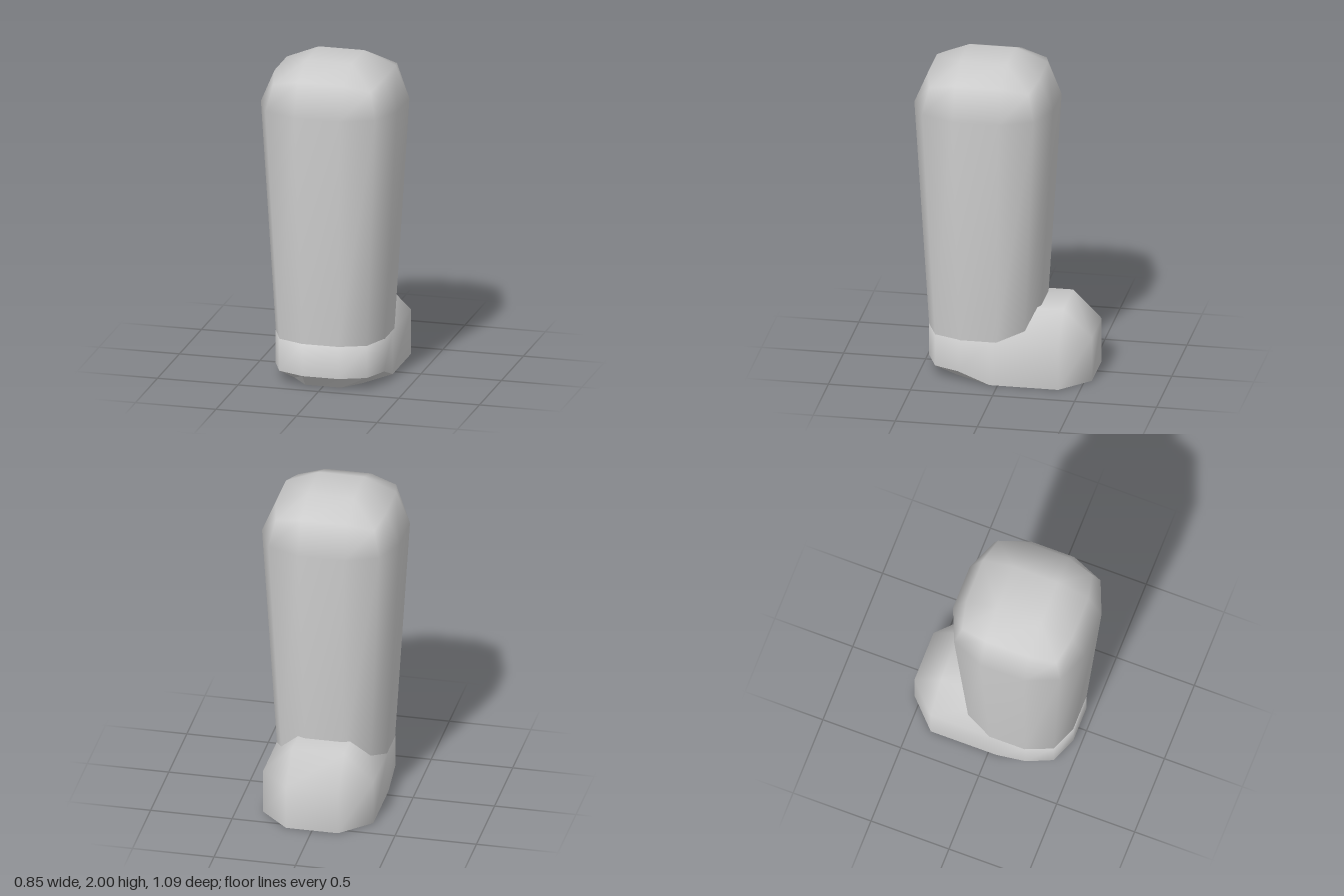
import * as THREE from 'three';
import { mergeVertices, toCreasedNormals } from 'three/addons/utils/BufferGeometryUtils.js';

// Skins half rings (listed front to back on +x, mirrored to -x) from bottom to top.
function loft(halfRings, { capTop = false, capBottom = false } = {}) {
  const rings = halfRings.map((half) => [
    ...half,
    ...half.slice().reverse().map(([x, y, z]) => [-x, y, z]),
  ]);
  const n = rings[0].length;
  const index = [];
  const same = (a, b) => a.every((v, k) => Math.abs(v - b[k]) < 1e-6);
  const flat = rings.flat();
  const tri = (a, b, c) => {
    if (same(flat[a], flat[b]) || same(flat[b], flat[c]) || same(flat[a], flat[c])) return;
    index.push(a, b, c);
  };
  for (let r = 0; r < rings.length - 1; r++) {
    for (let i = 0; i < n; i++) {
      const a = r * n + i, b = r * n + ((i + 1) % n);
      tri(a, b, b + n);
      tri(a, b + n, a + n);
    }
  }
  const top = (rings.length - 1) * n;
  for (let i = 1; i < n - 1; i++) {
    if (capTop) tri(top, top + i, top + i + 1);
    if (capBottom) tri(0, i + 1, i);
  }
  const geometry = new THREE.BufferGeometry();
  geometry.setAttribute('position', new THREE.Float32BufferAttribute(flat.flat(), 3));
  geometry.setIndex(index);
  const merged = mergeVertices(geometry, 1e-5);
  merged.computeVertexNormals();
  return merged;
}

// Half ring of a square with two-step rounded corners, around the leg's axis.
const LEG_Z = 0.12;
function legRing(side, corner, flat, y, cornerY = y) {
  const half = [[flat, y, side], [corner, cornerY, corner], [side, y, flat]];
  const back = half.slice().reverse().map(([x, h, z]) => [x, h, -z]);
  return [...half, ...back].map(([x, h, z]) => [x, h, z + LEG_Z]);
}

export function createModel() {
  const group = new THREE.Group();
  const grey = new THREE.MeshStandardMaterial({ color: 0xcccccc });
  grey.name = 'light grey';
  const add = (name, geometry) => {
    const mesh = new THREE.Mesh(geometry, grey);
    mesh.name = name;
    group.add(mesh);
  };

  // Leg: tapered column with a rounded top
  add('leg', loft([
    legRing(0.338, 0.272, 0.112, 0.277),
    legRing(0.423, 0.34, 0.14, 1.72),
    legRing(0.338, 0.302, 0.14, 1.92, 1.882),
    legRing(0.14, 0.14, 0.14, 2.0),
  ], { capTop: true }));

  // Foot: band around the leg's end, running back into a bevelled block
  const outline = [[0.112, 0.458], [0.272, 0.392], [0.338, 0.24], [0.338, 0.05], [0.338, -0.37], [0.16, -0.543]];
  const lower = outline.map(([x, z], i) => [x, i < 3 ? 0.075 : 0, z]);
  const shoulder = outline.map(([x, z]) => [x, 0.277, z]);
  const crown = [0.12, 0.12, 0.12, 0.05, -0.37, -0.37].map((z) => [0.16, 0.45, z]);
  add('foot', loft([lower, shoulder, crown], { capTop: true }));

  // Sole: flat underside with a chamfered front
  const base = [[0.112, 0.39], [0.21, 0.27], [0.28, 0.15], [0.338, 0.05], [0.338, -0.37], [0.16, -0.543]];
  const sole = loft([base.map(([x, z]) => [x, 0, z]), lower], { capBottom: true });
  add('sole', toCreasedNormals(sole, 0.3));

  return group;
}
